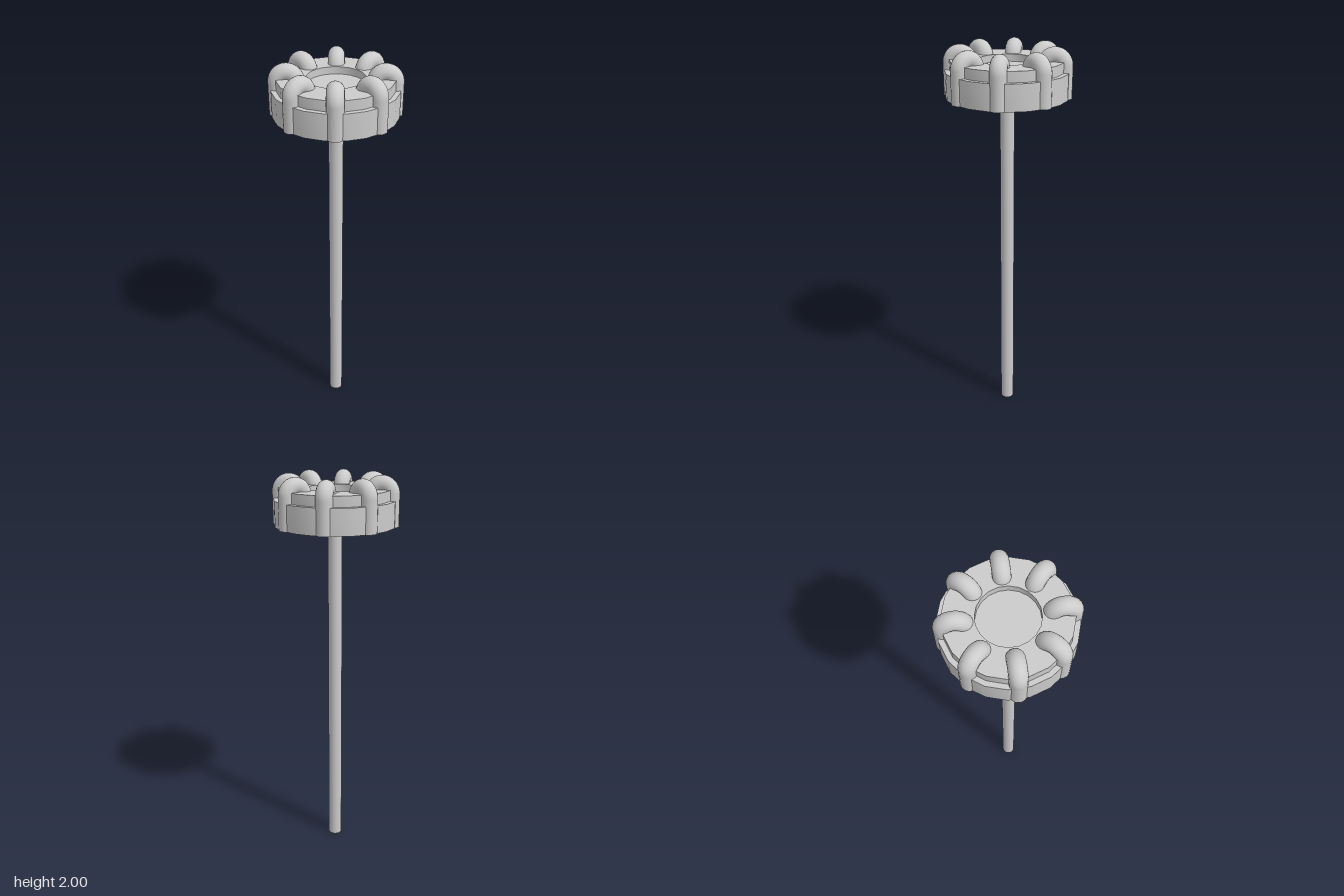
import * as THREE from 'three';
import { toCreasedNormals } from 'three/addons/utils/BufferGeometryUtils.js';

const material = new THREE.MeshStandardMaterial({ color: 0xcccccc });

function addPart(parent, name, geometry, x = 0, y = 0, z = 0) {
  const mesh = new THREE.Mesh(geometry, material);
  mesh.name = name;
  mesh.position.set(x, y, z);
  parent.add(mesh);
  return mesh;
}

export function createModel() {
  const model = new THREE.Group();
  model.name = 'valveHandwheel';

  const bottom = 1.76, shoulder = 1.885, top = 1.935;

  // Long round stem
  addPart(model, 'stem', new THREE.CylinderGeometry(0.035, 0.035, bottom, 24), 0, bottom / 2, 0);

  // Stepped 20-sided head with a shallow round recess on top
  const profile = [
    [0, bottom], [0.297, bottom], [0.297, shoulder], [0.273, shoulder],
    [0.273, top], [0.137, top], [0.137, 1.9], [0, 1.9],
  ].map(([x, y]) => new THREE.Vector2(x, y));
  addPart(model, 'head', toCreasedNormals(new THREE.LatheGeometry(profile, 20), Math.PI / 6));

  // Eight hooked grips: an outer leg, a half-round bend and a short inner leg
  const tube = 0.04, bend = 0.045, middle = 0.225, springing = 2 - tube - bend;
  const outerHeight = springing - bottom;
  const innerHeight = springing - 1.89;
  const bendGeometry = new THREE.TorusGeometry(bend, tube, 20, 20, Math.PI);
  const outerGeometry = new THREE.CylinderGeometry(tube, tube, outerHeight, 20);
  const innerGeometry = new THREE.CylinderGeometry(tube, tube, innerHeight, 20);
  for (let i = 0; i < 8; i++) {
    const grip = new THREE.Group();
    grip.name = `grip${i + 1}`;
    grip.rotation.y = (i * Math.PI) / 4;
    addPart(grip, 'gripBend', bendGeometry, middle, springing, 0);
    addPart(grip, 'gripOuterLeg', outerGeometry, middle + bend, bottom + outerHeight / 2, 0);
    addPart(grip, 'gripInnerLeg', innerGeometry, middle - bend, springing - innerHeight / 2, 0);
    model.add(grip);
  }

  return model;
}
